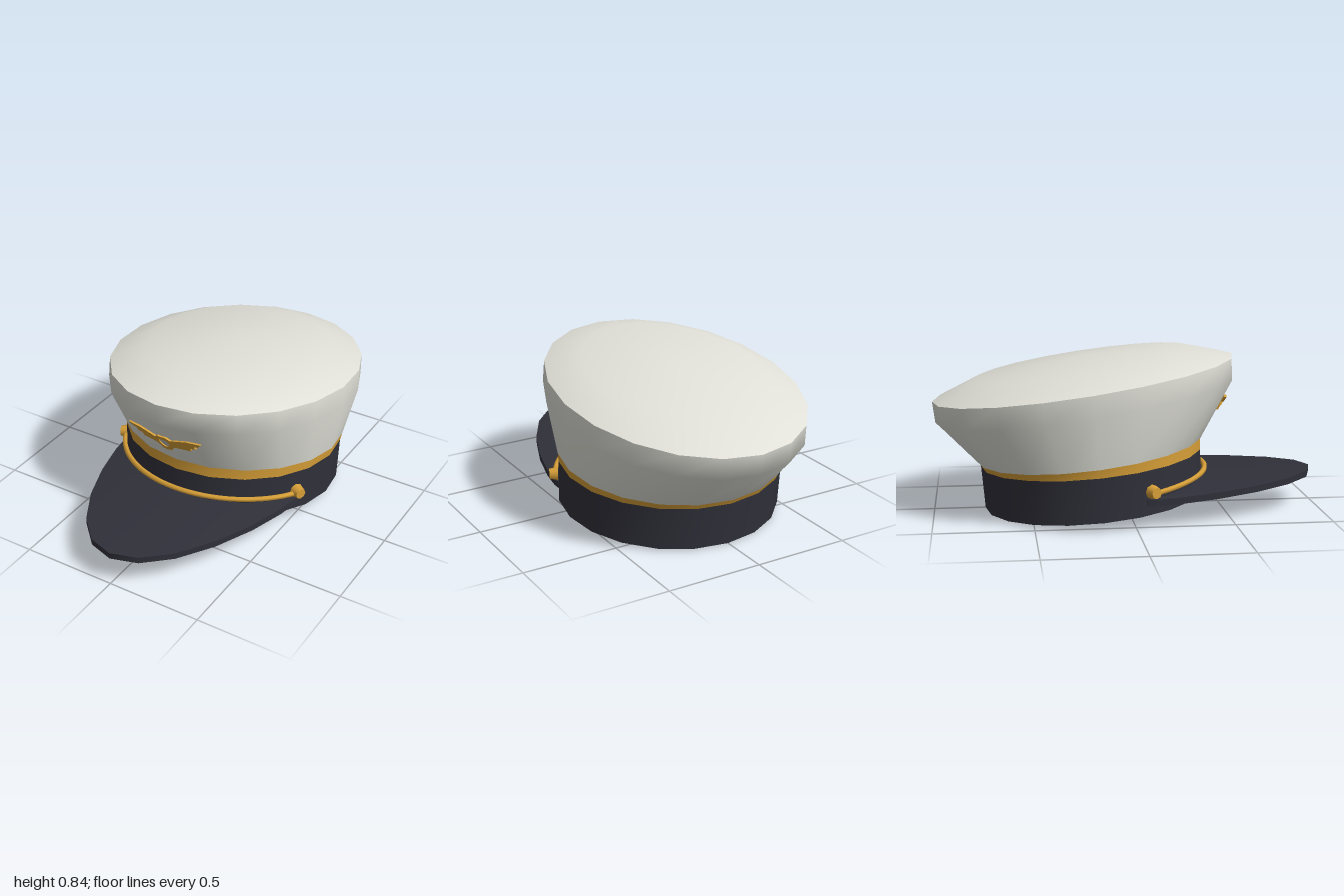
import * as THREE from 'three';
import { mergeVertices } from 'three/addons/utils/BufferGeometryUtils.js';

const SIDES = 20;

// Tilted elliptical rings: [front z, front y, back z, back y, half width], listed so faces point outward
function loft(rings) {
  const pos = [], idx = [];
  rings.forEach(([fz, fy, bz, by, rx], j) => {
    for (let i = 0; i < SIDES; i++) {
      const t = (i / SIDES) * Math.PI * 2, c = Math.cos(t);
      pos.push(rx * Math.sin(t), (fy + by) / 2 + (fy - by) / 2 * c, (fz + bz) / 2 + (fz - bz) / 2 * c);
      if (j === 0) continue;
      const n = (i + 1) % SIDES, a = (j - 1) * SIDES, d = j * SIDES;
      idx.push(a + i, a + n, d + n, a + i, d + n, d + i);
    }
  });
  let geo = new THREE.BufferGeometry();
  geo.setAttribute('position', new THREE.Float32BufferAttribute(pos, 3));
  geo.setIndex(idx);
  geo = mergeVertices(geo, 1e-4);
  geo.computeVertexNormals();
  return geo;
}

// Move every vertex by a rule
function warp(geo, rule) {
  const p = geo.attributes.position, v = new THREE.Vector3();
  for (let i = 0; i < p.count; i++) {
    rule(v.fromBufferAttribute(p, i));
    p.setXYZ(i, v.x, v.y, v.z);
  }
  geo.computeVertexNormals();
  return geo;
}

export function createModel() {
  const material = (name, color) => {
    const m = new THREE.MeshStandardMaterial({ color });
    m.name = name;
    return m;
  };
  const white = material('white cloth', 0xe0e0d8);
  const navy = material('navy', 0x30303a);
  const gold = material('gold', 0xd8a038);
  const black = material('black lining', 0x262626);
  const silver = material('silver', 0xb8bcc0);

  const group = new THREE.Group();
  group.name = 'peakedCap';
  const add = (name, geo, mat) => {
    const mesh = new THREE.Mesh(geo, mat);
    mesh.name = name;
    group.add(mesh);
    return mesh;
  };

  // Cap body, from the underside to the crown
  const bottom = [0.41, 0.1, -0.735, 0.003, 0.577];
  const bandTop = [0.4, 0.325, -0.755, 0.225, 0.58];
  const trimTop = [0.4, 0.385, -0.77, 0.25, 0.586];
  const widest = [0.57, 0.69, -0.985, 0.46, 0.625];
  const rim = [0.565, 0.8, -1, 0.57, 0.617];
  add('underside', loft([[-0.163, 0.051, -0.163, 0.051, 0], bottom]), black);
  add('headband', loft([bottom, bandTop]), navy);
  add('goldTrim', loft([bandTop, trimTop]), gold);
  add('crownSide', loft([trimTop, widest, rim]), white);
  add('crownTop', loft([rim, [0.33, 0.845, -0.78, 0.685, 0.445], [-0.23, 0.797, -0.23, 0.797, 0]]), white);

  // Visor: a slab with a pointed oval outline, arched across its width
  const visor = warp(new THREE.BoxGeometry(1, 1, 1, 12, 1, 1), v => {
    const a = v.x * Math.PI;
    const outer = 0.1 + 0.895 * Math.pow(Math.max(0, Math.cos(a)), 1.5);
    v.x = 0.53 * Math.sin(a);
    v.z = v.z > 0 ? outer : 0.05;
    v.y = 0.133 + 0.04 * (1 - (v.x / 0.53) ** 2) + v.y * 0.033;
  });
  add('visor', visor, navy);

  // Cord around the front of the band
  const cordPoints = [];
  for (let i = -8; i <= 8; i++) {
    const t = (i / 8) * 1.12;
    cordPoints.push(new THREE.Vector3(0.592 * Math.sin(t), 0.15 + 0.068 * Math.cos(t), -0.172 + 0.59 * Math.cos(t)));
  }
  add('cord', new THREE.TubeGeometry(new THREE.CatmullRomCurve3(cordPoints), 32, 0.014, 6), gold);

  // Cord buttons
  for (const s of [-1, 1]) {
    const geo = new THREE.CylinderGeometry(0.028, 0.037, 0.045, 8).rotateZ(-Math.PI / 2).rotateY(-0.45);
    if (s < 0) geo.rotateY(Math.PI + 0.9);
    add(s > 0 ? 'leftButton' : 'rightButton', geo, gold).position.set(s * 0.54, 0.188, 0.085);
  }

  // Winged badge, each half lying flat on the sloping crown
  const onCrown = v => {
    v.z += 0.405 + (v.y - 0.385) * 0.557 - 0.17 * Math.abs(v.x);
  };
  const outline = [[0, 0.597], [0.022, 0.597], [0.043, 0.575], [0.135, 0.6], [0.21, 0.6], [0.19, 0.575],
    [0.165, 0.57], [0.17, 0.55], [0.14, 0.546], [0.137, 0.523], [0.05, 0.522], [0.025, 0.49], [0, 0.49]];
  for (const s of [-1, 1]) {
    const pts = outline.map(([x, y]) => new THREE.Vector2(s * x, y));
    for (let i = 0; i <= 8; i++) {
      const a = -Math.PI / 2 + (i / 8) * Math.PI;
      pts.push(new THREE.Vector2(s * 0.028 * Math.cos(a), 0.545 + 0.03 * Math.sin(a)));
    }
    const geo = new THREE.ExtrudeGeometry(new THREE.Shape(pts), { depth: 0.012, bevelEnabled: false });
    add(s > 0 ? 'badgeLeftWing' : 'badgeRightWing', warp(geo, onCrown), gold);
  }
  const disc = new THREE.CircleGeometry(0.03, 16).translate(0, 0.545, 0.005);
  add('badgeCentre', warp(disc, onCrown), silver);

  return group;
}
